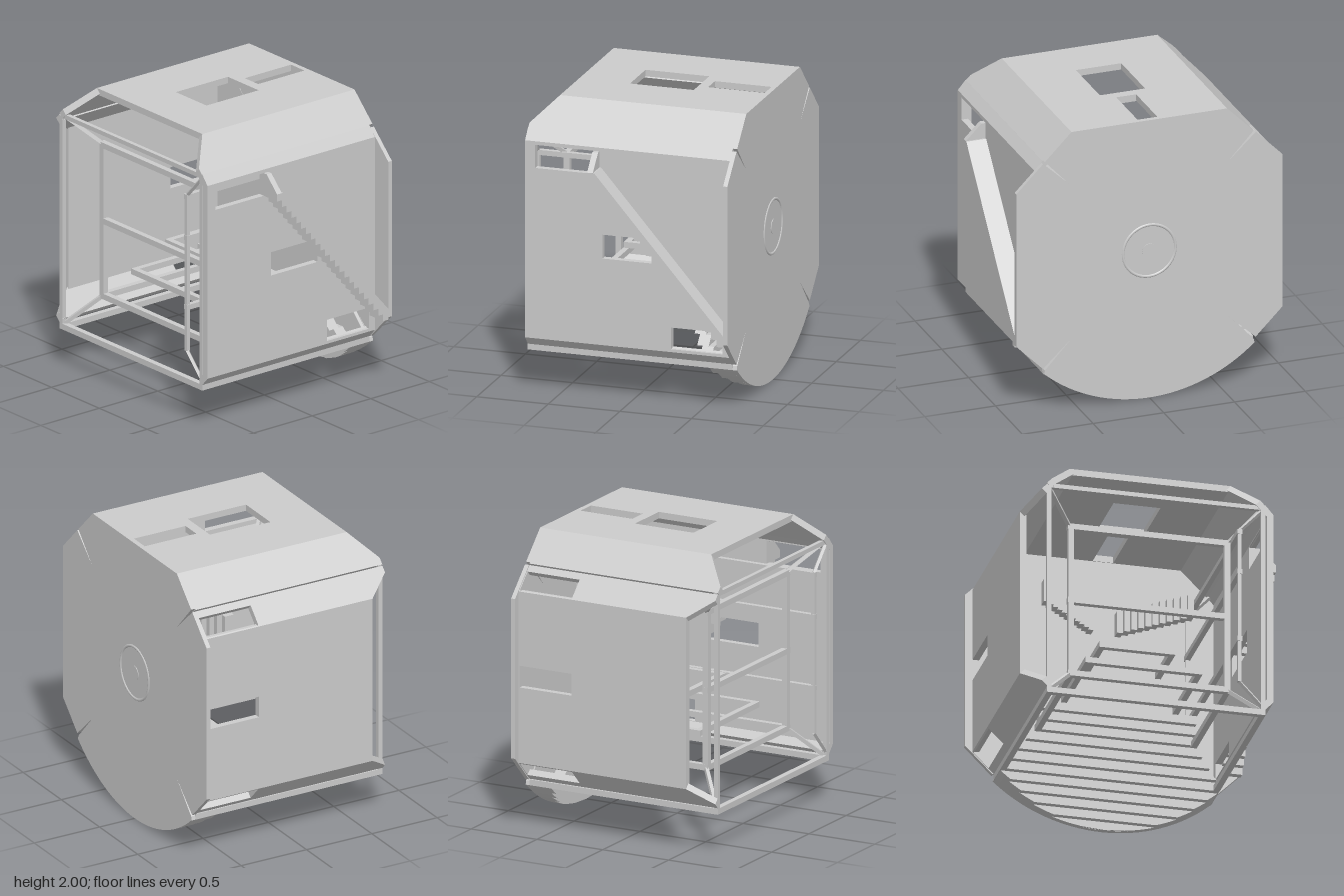
import * as THREE from 'three';

const V = (x, y, z) => new THREE.Vector3(x, y, z);

export function createModel() {
  const model = new THREE.Group();
  const mat = new THREE.MeshStandardMaterial({ color: 0xcccccc });
  const BACK = -0.7, FRONT = 0.73, WALL = 0.045, MID = 1.06;

  function add(name, geo) {
    const m = new THREE.Mesh(geo, mat);
    m.name = name;
    model.add(m);
    return m;
  }
  const shapeOf = pts => new THREE.Shape(pts.map(p => new THREE.Vector2(p[0], p[1])));
  const extrude = (shape, depth) =>
    new THREE.ExtrudeGeometry(shape, { depth, bevelEnabled: false });

  // Wall panel whose outer face runs from a to b in section (counterclockwise),
  // spanning z from the back plate to a front edge of [s, z] points.
  function panel(name, a, b, front, holes = []) {
    const u = V(b[0] - a[0], b[1] - a[1], 0);
    const len = u.length();
    u.normalize();
    const v = V(0, 0, 1), w = u.clone().cross(v);
    const edge = front.map(([s, z]) => [s * len, z]);
    const shape = shapeOf([[0, BACK], [len, BACK], ...edge]);
    for (const [s0, s1, z0, z1] of holes)
      shape.holes.push(shapeOf([[s0, z0], [s0, z1], [s1, z1], [s1, z0]]));
    const geo = extrude(shape, WALL).translate(0, 0, -WALL);
    geo.applyMatrix4(new THREE.Matrix4().makeBasis(u, v, w).setPosition(a[0], a[1], 0));
    add(name, geo);
  }

  // Square bar between two points
  function beam(name, a, b, w = 0.04, h = w) {
    const d = b.clone().sub(a);
    const m = add(name, new THREE.BoxGeometry(w, h, d.length()));
    m.position.copy(a).add(b).multiplyScalar(0.5);
    m.quaternion.setFromUnitVectors(V(0, 0, 1), d.normalize());
  }

  // Back plate: octagon with round lower edge and four diagonal slits
  const R = 1.118;
  const arcHalf = y => Math.sqrt(Math.max(0, R * R - (R - y) ** 2));
  const slit = (sx, sy, flip) => {
    const c = [sx * 0.745, MID + sy * 0.745], t = [sx * 0.555, MID + sy * 0.555], g = 0.007;
    const p = [[c[0] + sx * g, c[1] - sy * g], t, [c[0] - sx * g, c[1] + sy * g]];
    return flip ? p.reverse() : p;
  };
  const outline = [[-0.55, 2], [0.55, 2], ...slit(1, 1, true), [0.94, 1.61], [0.94, 0.51],
    ...slit(1, -1, false), [0.745, 0.28]];
  const sweep = Math.asin(0.74 / R);
  for (let i = 0; i <= 32; i++) {
    const t = sweep * (1 - i / 16);
    outline.push([R * Math.sin(t), R - R * Math.cos(t)]);
  }
  outline.push([-0.745, 0.28], ...slit(-1, -1, true), [-0.94, 0.51], [-0.94, 1.61],
    ...slit(-1, 1, false));
  add('backPlate', extrude(shapeOf(outline), 0.03).translate(0, 0, -0.73));
  add('backRing', new THREE.TorusGeometry(0.185, 0.012, 8, 48)).position.set(0, MID, -0.725);
  add('backHub', new THREE.CylinderGeometry(0.05, 0.05, 0.02, 32).rotateX(Math.PI / 2))
    .position.set(0, MID, -0.724);

  // Roof shell, open at its sloping front
  const flat = z => [[1, z], [0, z]];
  panel('roofTop', [0.55, 2], [-0.55, 2], flat(0.57),
    [[0.39, 0.71, -0.23, 0.215], [0.48, 0.62, -0.695, -0.3]]);
  panel('roofSlope', [0.745, 1.805], [0.55, 2], [[1, 0.57], [0.18, FRONT], [0, FRONT]]);
  panel('roofSlope', [-0.55, 2], [-0.745, 1.805], [[1, FRONT], [0.82, FRONT], [0, 0.57]]);

  // Left shell, also open at its front
  panel('leftSlope', [-0.745, 1.795], [-0.89, 1.65], [[1, 0.57], [0.24, FRONT], [0, FRONT]],
    [[0.05, 0.195, -0.695, -0.3]]);
  panel('leftWall', [-0.89, 1.65], [-0.89, 0.47], flat(0.57), [[0.51, 0.66, -0.695, -0.3]]);
  panel('leftSlope', [-0.89, 0.47], [-0.745, 0.325], [[1, FRONT], [0.76, FRONT], [0, 0.57]],
    [[0.01, 0.155, -0.695, -0.3]]);

  // Right wall with three windows
  panel('rightSlope', [0.745, 0.32], [0.8, 0.38], flat(FRONT));
  panel('rightWall', [0.8, 0.38], [0.8, 1.745], flat(FRONT), [
    [0.02, 0.17, -0.65, -0.29], [0.6, 0.765, -0.21, 0.19], [1.18, 1.34, 0.25, 0.66]]);
  panel('rightSlope', [0.8, 1.745], [0.745, 1.81], flat(FRONT));

  // Outer stair on the right wall: plain above, stepped below
  const profile = [[0.57, -0.7], [1.61, 0.2], [1.61, 0.25], [1.56, 0.25]];
  const steps = 22;
  for (let i = 0; i < steps; i++) {
    const z = 0.21 - i * 0.0412, y = 1.56 - i * 0.0485;
    profile.push([y, z], [y - 0.0485, z]);
  }
  profile.push([0.493, -0.7]);
  const sideStair = extrude(shapeOf(profile), 0.14);
  sideStair.applyMatrix4(new THREE.Matrix4()
    .makeBasis(V(0, 1, 0), V(0, 0, 1), V(1, 0, 0)).setPosition(0.8, 0, 0));
  add('sideStair', sideStair);
  add('sideStairHead', extrude(shapeOf(
    [[0.8, 1.6], [0.94, 1.6], [0.94, 1.61], [0.83, 1.72], [0.8, 1.72]]), 0.04)
    .translate(0, 0, 0.21));

  // Lower stair: rounded at the foot, then leaning forward into the room
  const half = y => y <= 0.281 ? arcHalf(y) : y < 0.53 ? Math.min(0.74, MID - y) : 0.53;
  for (let i = 0; i < 12; i++) {
    const y0 = i < 5 ? i * 0.056 : 0.28 + (i - 5) * 0.06;
    const y1 = i < 4 ? y0 + 0.056 : 0.28 + (i - 4) * 0.06;
    const right = [], left = [];
    for (let k = 0; k <= 6; k++) {
      const y = y0 + (y1 - y0) * k / 6;
      right.push([half(y) + 1e-4, y]);
      left.unshift([-half(y) - 1e-4, y]);
    }
    const zf = -0.69 + 0.038 * i;
    const zb = i < 5 ? BACK : zf - 0.08;
    add('lowerStair', extrude(shapeOf([...right, ...left]), zf - zb).translate(0, 0, zb));
  }

  // Pair of upright-edged stairs high on the back plate
  for (const s of [-1, 1])
    for (let i = 0; i < 11; i++) {
      const m = add('upperStair', new THREE.BoxGeometry(0.0392, 0.16, 0.07));
      m.position.set(s * (0.1 + i * 0.0392), 1.5, -0.665 + i * 0.036);
    }

  // Outer frame
  const o = 0.725, yLow = 0.3, yHigh = 1.79;
  beam('frontSill', V(-0.745, yLow, 0.71), V(0.745, yLow, 0.71));
  beam('frontLintel', V(-0.745, yHigh, 0.71), V(0.745, yHigh, 0.71), 0.03);
  for (const s of [-1, 1]) {
    beam('floorEdge', V(s * o, yLow, BACK), V(s * o, yLow, FRONT));
    beam('frontPost', V(s * 0.73, yLow, 0.715), V(s * 0.73, yHigh, 0.715), 0.03);
    // Diagonal ribs to the inner frame
    beam('frontRib', V(s * 0.73, 0.31, 0.71), V(s * 0.54, 0.525, 0.525), 0.025);
    beam('frontRib', V(s * 0.73, 1.79, 0.71), V(s * 0.54, 1.6, 0.525), 0.025);
    beam('innerPost', V(s * 0.533, 0.51, 0.525), V(s * 0.533, 1.615, 0.525));
  }
  for (const y of [0.527, MID, 1.595])
    beam('innerRail', V(-0.555, y, 0.525), V(0.555, y, 0.525));

  // Nested floor frames narrowing upward
  for (const [y, h, zf, zb] of [[0.527, 0.533, 0.525, -0.36], [0.705, 0.38, 0.38, -0.25],
    [0.912, 0.24, 0.205, -0.17]]) {
    beam('floorRail', V(-h - 0.02, y, zf), V(h + 0.02, y, zf));
    for (const s of [-1, 1]) beam('floorRail', V(s * h, y, zb), V(s * h, y, zf));
  }

  // Inward frame beside the right wall
  const rx = 0.57;
  for (const z of [0.715, -0.68]) {
    beam('rightFramePost', V(rx, 0.51, z), V(rx, 1.61, z), 0.025);
    beam('rightFrameRib', V(rx, 0.51, z), V(0.74, 0.33, z), 0.02);
    beam('rightFrameRib', V(rx, 1.61, z), V(0.74, 1.79, z), 0.02);
  }
  for (const y of [0.82, 1.31, 1.6]) beam('rightFrameRail', V(rx, y, BACK), V(rx, y, FRONT), 0.035);

  return model;
}
